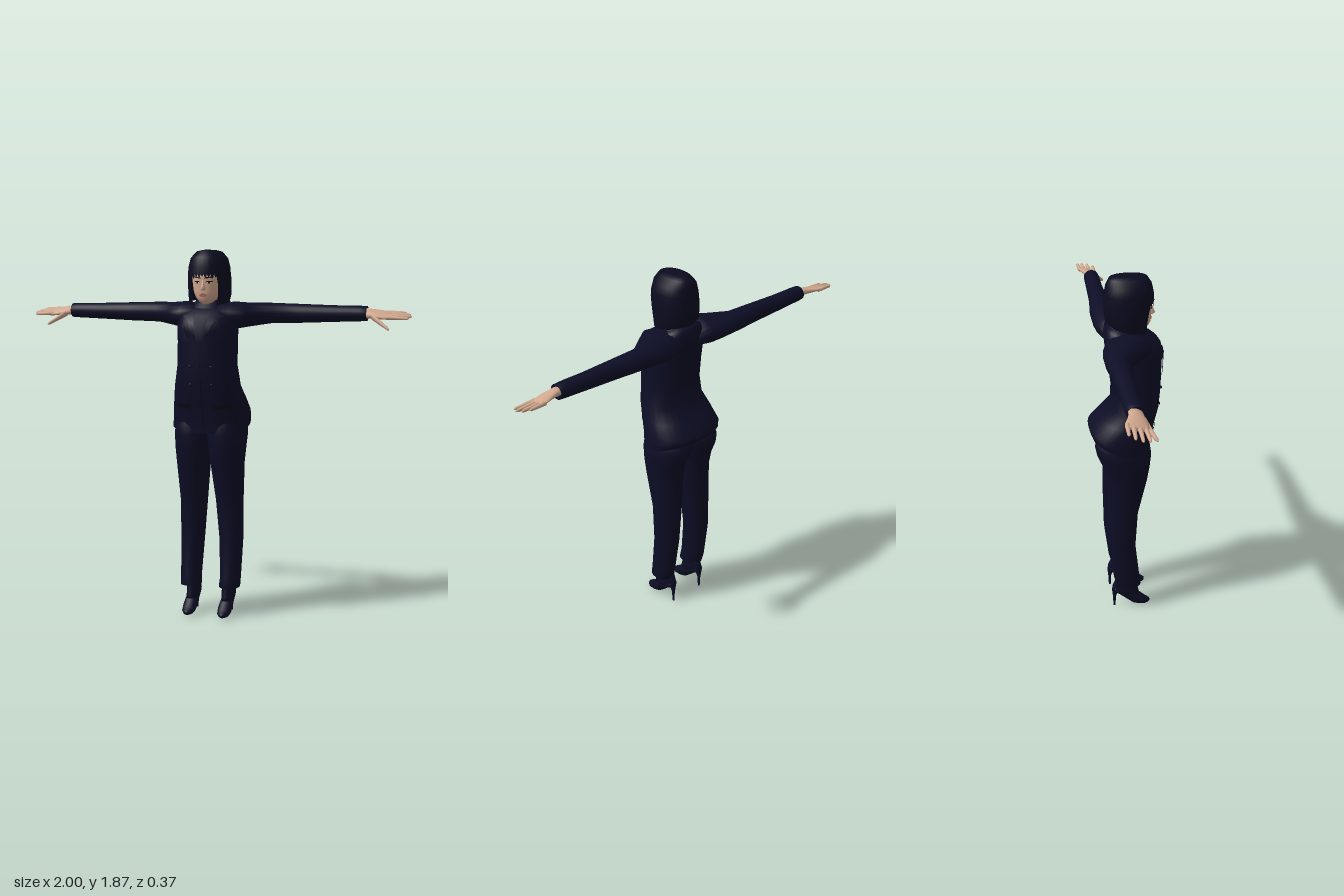
import * as THREE from 'three';
import { mergeVertices } from 'three/addons/utils/BufferGeometryUtils.js';

const mat = (name, color) => new THREE.MeshStandardMaterial({ name, color, side: THREE.DoubleSide });

// Smooth surface through a list of rings (all with the same point count)
function skin(rings, capStart = false, capEnd = false) {
  const n = rings[0].length, pos = rings.flat().flatMap(p => [p.x, p.y, p.z]), idx = [];
  for (let i = 0; i < rings.length - 1; i++)
    for (let j = 0; j < n - 1; j++) {
      const a = i * n + j, d = a + n;
      idx.push(a, a + 1, d + 1, a, d + 1, d);
    }
  const cap = (ring, start, flip) => {
    const c = ring.reduce((s, p) => s.add(p), new THREE.Vector3()).divideScalar(n);
    pos.push(c.x, c.y, c.z);
    const k = pos.length / 3 - 1;
    for (let j = 0; j < n - 1; j++)
      flip ? idx.push(k, start + j + 1, start + j) : idx.push(k, start + j, start + j + 1);
  };
  if (capStart) cap(rings[0], 0, true);
  if (capEnd) cap(rings.at(-1), (rings.length - 1) * n, false);
  let g = new THREE.BufferGeometry();
  g.setAttribute('position', new THREE.Float32BufferAttribute(pos, 3));
  g.setIndex(idx);
  g = mergeVertices(g);
  g.computeVertexNormals();
  return g;
}

const spow = (v, p) => Math.sign(v) * Math.abs(v) ** (2 / p);

// Level ring: [front y, back y, front z, back z, half width, front opening angle, centre x]
function levelRing([yf, yb, f, b, w, gap = 0, cx = 0], p = 2, n = 32) {
  return Array.from({ length: n + 1 }, (_, j) => {
    const t = gap + (2 * Math.PI - 2 * gap) * j / n, c = spow(Math.cos(t), p);
    return new THREE.Vector3(cx + w * spow(Math.sin(t), p), yf + (yb - yf) * (1 - c) / 2, (f + b) / 2 + (f - b) / 2 * c);
  });
}
// Rows run from top to bottom
const loft = (rows, p, bottomCap, topCap) => skin([...rows].reverse().map(r => levelRing(r, p)), bottomCap, topCap);

// Upright ring across x: [x, centre y, centre z, half height, half depth], with a forward slant
const sideRing = ([x, cy, cz, ry, rz], slant = 0, n = 20) => Array.from({ length: n + 1 }, (_, j) => {
  const t = 2 * Math.PI * j / n, dz = rz * Math.sin(t);
  return new THREE.Vector3(x, cy + ry * Math.cos(t) - slant * dz, cz + dz);
});
const sideLoft = (rows, slant, n) => skin(rows.map(r => sideRing(r, slant, n)), true, true);

function mirrored(g) {
  const m = g.clone().scale(-1, 1, 1), ix = m.index;
  for (let i = 0; i < ix.count; i += 3) {
    const a = ix.getX(i);
    ix.setX(i, ix.getX(i + 1));
    ix.setX(i + 1, a);
  }
  m.computeVertexNormals();
  return m;
}

// Front z of a lofted body at a given x, y
const frontOf = (rows, p) => (x, y) => {
  let i = 0;
  while (i < rows.length - 2 && rows[i + 1][0] > y) i++;
  const A = rows[i], B = rows[i + 1], k = THREE.MathUtils.clamp((A[0] - y) / (A[0] - B[0]), 0, 1);
  const [f, b, w] = [2, 3, 4].map(c => A[c] + (B[c] - A[c]) * k);
  return (f + b) / 2 + (f - b) / 2 * Math.max(0, 1 - Math.abs(x / w) ** p) ** (1 / p);
};
// Thin four-cornered plate laid on a front surface; corners anticlockwise from lower left
function patch(corners, zAt, lift) {
  const g = new THREE.PlaneGeometry(1, 1, 8, 8), P = g.attributes.position;
  for (let i = 0; i < P.count; i++) {
    const u = P.getX(i) + 0.5, v = P.getY(i) + 0.5;
    const [x, y] = [0, 1].map(c => (1 - v) * ((1 - u) * corners[0][c] + u * corners[1][c])
      + v * ((1 - u) * corners[3][c] + u * corners[2][c]));
    P.setXYZ(i, x, y, zAt(x, y) + lift);
  }
  g.computeVertexNormals();
  return g;
}
const box = (x, y, w, h) => [[x - w, y - h], [x + w, y - h], [x + w, y + h], [x - w, y + h]];

export function createModel() {
  const root = new THREE.Group();
  root.name = 'standingFigure';
  const cloth = mat('navyCloth', 0x0d0d26), trim = mat('darkNavyTrim', 0x090919), hairM = mat('navyHair', 0x0b0b20);
  const skinM = mat('skin', 0xd2a88f), lipM = mat('lips', 0xa86a60), dark = mat('browAndIris', 0x1a1214), white = mat('eyeWhite', 0xd8d0c8);
  const add = (name, g, m) => {
    const o = new THREE.Mesh(g, m);
    o.name = name;
    root.add(o);
  };
  const pair = (name, g, m) => {
    add('left' + name, g, m);
    add('right' + name, mirrored(g), m);
  };

  // Jacket body with a flared back hem
  const jacket = [
    [1.615, 1.63, 0.04, -0.085, 0.06], [1.585, 1.62, 0.09, -0.1, 0.11], [1.55, 1.58, 0.15, -0.105, 0.14],
    [1.5, 1.52, 0.182, -0.1, 0.153], [1.42, 1.42, 0.178, -0.085, 0.15], [1.3, 1.3, 0.175, -0.07, 0.152],
    [1.2, 1.2, 0.165, -0.072, 0.168], [1.12, 1.14, 0.145, -0.13, 0.185], [1.05, 1.08, 0.13, -0.187, 0.197],
    [0.99, 1.05, 0.122, -0.18, 0.2], [0.96, 1.03, 0.12, -0.165, 0.2]];
  add('jacketBody', loft(jacket, 2.3, false, true), cloth);
  add('collar', loft([[1.625, 1.65, 0.06, -0.075, 0.065], [1.585, 1.61, 0.1, -0.095, 0.095]], 2), cloth);

  // Lapels, front opening, buttons and pocket flaps
  const chest = frontOf(jacket, 2.3);
  pair('Lapel', patch([[0.004, 1.33], [0.09, 1.48], [0.1, 1.55], [0.04, 1.57]], chest, 0.007), cloth);
  add('frontOpening', patch(box(0, 1.15, 0.003, 0.17), chest, 0.004), trim);
  pair('PocketFlap', patch(box(0.1, 1.1, 0.045, 0.012), chest, 0.006), trim);
  for (const y of [1.3, 1.21])
    pair('Button', new THREE.SphereGeometry(0.008, 10, 8).scale(1, 1, 0.5).translate(0.055, y, chest(0.055, y) + 0.003), trim);

  // Sleeves
  pair('Sleeve', sideLoft([
    [0.05, 1.55, 0, 0.06, 0.1], [0.13, 1.55, -0.005, 0.068, 0.12], [0.2, 1.553, -0.036, 0.059, 0.098],
    [0.3, 1.56, -0.075, 0.051, 0.06], [0.45, 1.56, -0.072, 0.047, 0.049], [0.62, 1.561, -0.072, 0.041, 0.043],
    [0.75, 1.563, -0.07, 0.038, 0.041], [0.783, 1.563, -0.07, 0.036, 0.039], [0.778, 1.563, -0.07, 0.03, 0.034]]), cloth);

  // Hands: palm, four fingers and a thumb
  pair('Palm', sideLoft([
    [0.765, 1.565, -0.068, 0.024, 0.034], [0.8, 1.563, -0.068, 0.022, 0.035], [0.83, 1.56, -0.068, 0.019, 0.044],
    [0.87, 1.557, -0.076, 0.014, 0.052], [0.9, 1.556, -0.08, 0.01, 0.049]], 0.28), skinM);
  const digit = (a, b, r0, r1) => sideLoft([0, 0.5, 0.9, 1].map(k => {
    const r = k === 1 ? r1 * 0.4 : r0 + (r1 - r0) * k;
    return [...a.map((v, i) => v + (b[i] - v) * k), r, r];
  }), 0, 10);
  [[-0.12, -0.125, 0.967], [-0.094, -0.1, 0.99], [-0.067, -0.07, 1.0], [-0.042, -0.038, 0.988]].forEach(([z0, z1, tip], i) =>
    pair('Finger' + (i + 1), digit([0.88, 1.567 - 0.007 * i, z0], [tip, 1.566 - 0.008 * i, z1], 0.0115, 0.007), skinM));
  pair('Thumb', digit([0.81, 1.55, -0.045], [0.9, 1.49, 0.006], 0.017, 0.008), skinM);

  // Trouser legs
  const leg = (y, inner, outer, f, b) => [y, y, f, b, (outer - inner) / 2, 0, (outer + inner) / 2];
  pair('TrouserLeg', loft([
    leg(1.07, -0.02, 0.16, 0.1, -0.14), leg(1.0, -0.02, 0.185, 0.114, -0.163), leg(0.95, -0.015, 0.187, 0.121, -0.153),
    leg(0.88, -0.005, 0.183, 0.113, -0.122), leg(0.8, 0.005, 0.176, 0.1, -0.105), leg(0.6, 0.026, 0.166, 0.053, -0.105),
    leg(0.4, 0.043, 0.165, 0.04, -0.1), leg(0.2, 0.054, 0.159, 0.062, -0.075), leg(0.15, 0.05, 0.158, 0.07, -0.062),
    leg(0.155, 0.06, 0.145, 0.058, -0.052)], 2.1, false, true), cloth);

  // High-heeled ankle boots
  pair('BootShaft', loft([
    leg(0.18, 0.062, 0.128, 0.045, -0.06), leg(0.13, 0.062, 0.128, 0.052, -0.082), leg(0.1, 0.062, 0.128, 0.058, -0.08),
    leg(0.08, 0.064, 0.126, 0.062, -0.05)], 2, true), cloth);
  const foot = [[-0.07, 0.09, 0.13, 0.024], [-0.045, 0.077, 0.13, 0.03], [0, 0.036, 0.12, 0.032], [0.03, 0.01, 0.105, 0.034],
    [0.06, 0.003, 0.075, 0.036], [0.09, 0.003, 0.045, 0.032], [0.11, 0.006, 0.033, 0.02], [0.12, 0.012, 0.026, 0.008]];
  pair('BootFoot', skin(foot.map(([z, lo, hi, w]) => Array.from({ length: 21 }, (_, j) => {
    const t = 2 * Math.PI * j / 20;
    return new THREE.Vector3(0.095 + w * Math.cos(t), (lo + hi) / 2 + (hi - lo) / 2 * Math.sin(t), z);
  })), true, true), cloth);
  pair('StilettoHeel', loft([leg(0.11, 0.075, 0.115, -0.045, -0.085), leg(0.06, 0.088, 0.102, -0.063, -0.08),
    leg(0, 0.09, 0.1, -0.066, -0.077)], 2, true), cloth);

  // Head, neck and nose
  const head = [
    [1.82, 1.82, 0.09, -0.05, 0.055], [1.77, 1.77, 0.127, -0.07, 0.077], [1.73, 1.73, 0.13, -0.07, 0.078],
    [1.7, 1.7, 0.126, -0.07, 0.076], [1.67, 1.67, 0.127, -0.06, 0.07], [1.64, 1.64, 0.124, -0.03, 0.056],
    [1.618, 1.618, 0.114, 0, 0.034], [1.607, 1.607, 0.095, 0.02, 0.016]];
  add('head', loft(head, 2.2, true, true), skinM);
  add('neck', loft([[1.67, 1.67, 0.05, -0.05, 0.045], [1.58, 1.58, 0.05, -0.06, 0.05]], 2), skinM);
  add('nose', loft([[1.722, 1.722, 0.13, 0.11, 0.006], [1.695, 1.695, 0.14, 0.11, 0.009], [1.681, 1.681, 0.147, 0.11, 0.014],
    [1.674, 1.674, 0.137, 0.11, 0.011]], 2, true, true), skinM);

  // Eyes, brows and mouth
  const face = frontOf(head, 2.2);
  pair('EyeWhite', patch([[0.016, 1.709], [0.042, 1.71], [0.045, 1.716], [0.02, 1.718]], face, 0.002), white);
  pair('Iris', patch(box(0.03, 1.714, 0.005, 0.005), face, 0.003), dark);
  pair('UpperLash', patch([[0.014, 1.714], [0.048, 1.717], [0.047, 1.721], [0.02, 1.721]], face, 0.004), dark);
  pair('Brow', patch([[0.01, 1.731], [0.05, 1.738], [0.05, 1.743], [0.012, 1.738]], face, 0.003), dark);
  add('upperLip', patch([[-0.021, 1.652], [0.021, 1.652], [0.007, 1.659], [-0.007, 1.659]], face, 0.004), lipM);
  add('lowerLip', patch([[-0.012, 1.643], [0.012, 1.643], [0.021, 1.651], [-0.021, 1.651]], face, 0.004), lipM);

  // Bobbed hair: closed crown with fringe, then a curtain open at the face
  add('hairCrown', loft([
    [1.873, 1.873, 0.07, -0.05, 0.025], [1.866, 1.864, 0.108, -0.078, 0.06], [1.835, 1.83, 0.128, -0.093, 0.09],
    [1.79, 1.79, 0.138, -0.1, 0.101], [1.752, 1.745, 0.14, -0.103, 0.105]], 2.15, false, true), hairM);
  add('hairCurtain', loft([
    [1.77, 1.77, 0.138, -0.101, 0.103, 0.62], [1.74, 1.74, 0.137, -0.103, 0.106, 0.66], [1.7, 1.7, 0.13, -0.103, 0.107, 0.7],
    [1.65, 1.65, 0.12, -0.097, 0.106, 0.68], [1.6, 1.63, 0.112, -0.075, 0.101, 0.6]], 2.15), hairM);
  // Ragged fringe ends
  const fringe = frontOf([[1.79, 1.79, 0.138, -0.1, 0.101], [1.72, 1.72, 0.139, -0.103, 0.106]], 2.15);
  for (let i = -4; i <= 4; i++) {
    const x = i * 0.016, tip = 1.742 - 0.0012 * Math.abs(i) - (i % 2 ? 0.006 : 0);
    add('fringeLock', patch([[x - 0.002, tip], [x + 0.002, tip], [x + 0.009, 1.757], [x - 0.009, 1.757]], fringe, 0.001), hairM);
  }
  return root;
}
